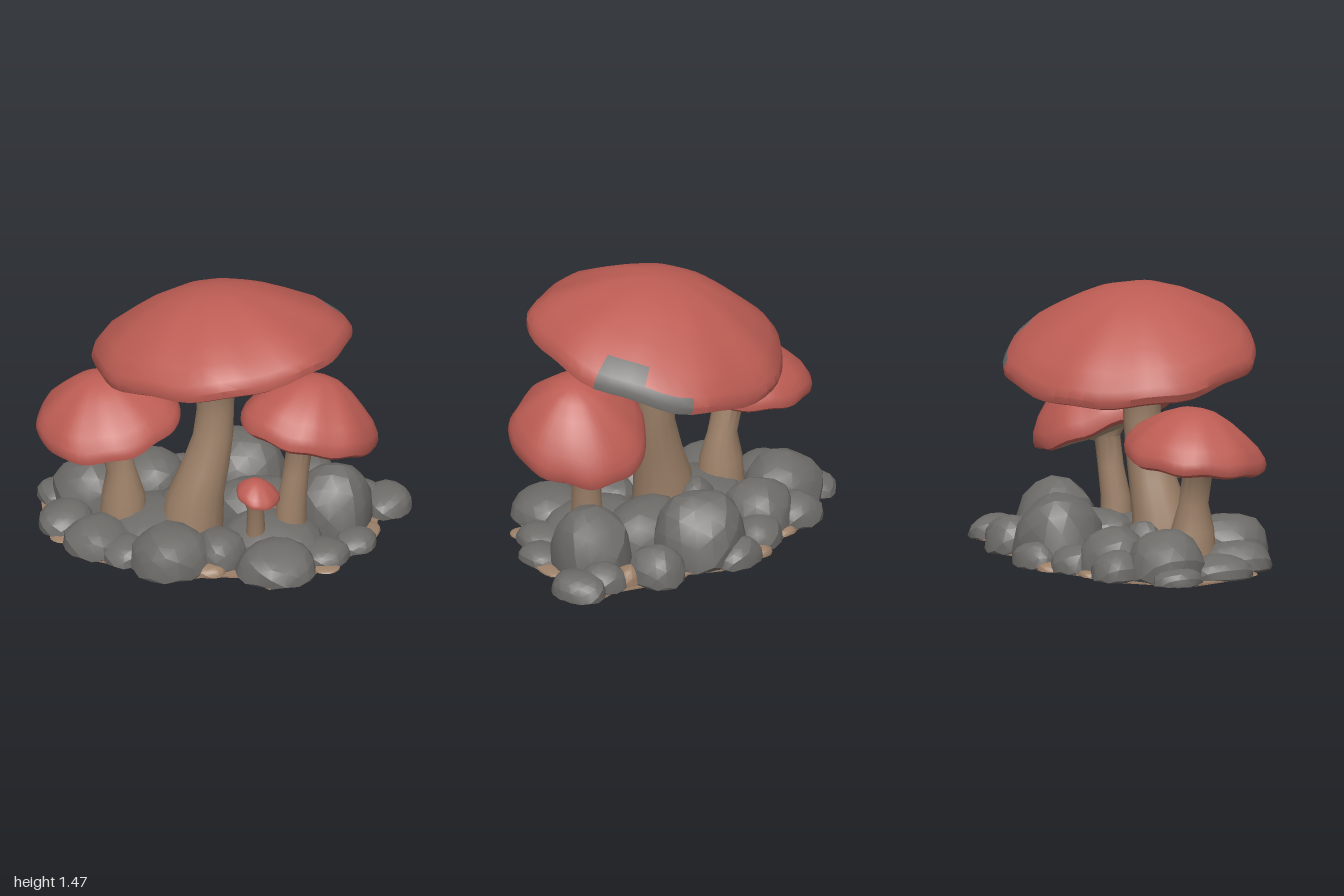
import * as THREE from 'three';
import { toCreasedNormals } from 'three/addons/utils/BufferGeometryUtils.js';

const material = (name, color, side = THREE.FrontSide) =>
  Object.assign(new THREE.MeshStandardMaterial({ color, side }), { name });

// moves every vertex of a geometry by a rule
function reshape(geometry, rule) {
  const p = geometry.attributes.position, v = new THREE.Vector3();
  for (let i = 0; i < p.count; i++) {
    v.fromBufferAttribute(p, i);
    rule(v, i);
    p.setXYZ(i, v.x, v.y, v.z);
  }
  return geometry;
}

// cap outline as fractions of radius and height, from the rim inward
const TOP = [[0.92, -0.06], [0.99, 0], [1, 0.1], [0.97, 0.22], [0.86, 0.42], [0.68, 0.62], [0.5, 0.8], [0.3, 0.94], [0.12, 1], [0, 1]];
const GILLS = [[0.08, -0.3], [0.25, -0.2], [0.6, -0.12], [0.92, -0.06]];

export function createModel() {
  const red = material('capRed', 0xbd5d54);
  const tan = material('stemTan', 0x9c8068);
  const gray = material('rockGray', 0x6e6c69);
  const gillTan = material('gillTan', 0xa08c72, THREE.DoubleSide);

  const model = new THREE.Group();
  model.name = 'mushroomCluster';
  const add = (parent, name, geometry, mat) => {
    const mesh = new THREE.Mesh(geometry, mat);
    mesh.name = name;
    parent.add(mesh);
    return mesh;
  };

  // a cap with a wavy rim, leaning by slopes sx and sz, its crown shifted by dx and dz
  function cap(group, { at, rx, rz, h, sx, sz, dx, dz, phase, worn = () => false }) {
    const bend = (ridges) => (v) => {
      const a = Math.atan2(v.x, v.z), r = Math.hypot(v.x, v.z), rise = Math.max(0, v.y);
      const wave = 1 + r * (0.018 * Math.sin(3 * a + phase) + 0.014 * Math.sin(7 * a + phase * 2));
      let y = v.y * h + r * r * h * (0.025 * Math.sin(9 * a) - 0.05 * Math.cos(2 * a));
      if (ridges && r > 0.3 && r < 0.9) y += 0.006 * h * Math.cos(24 * a);
      const x = v.x * rx * wave, z = v.z * rz * wave;
      v.set(at[0] + x + dx * rise, at[1] + y + sx * x + sz * z, at[2] + z + dz * rise);
    };
    const lathe = (profile) => new THREE.LatheGeometry(profile.map((q) => new THREE.Vector2(...q)), 48);
    const top = toCreasedNormals(reshape(lathe(TOP), bend(false)), 0.6);
    const rows = TOP.length - 1;
    for (let q = 0; q < 48 * rows; q++) {
      top.addGroup(q * 6, 6, worn(Math.floor(q / rows), q % rows) ? 1 : 0);
    }
    add(group, 'cap', top, [red, gray]);
    add(group, 'gills', toCreasedNormals(reshape(lathe(GILLS), bend(true)), 0.5), gillTan);
  }

  // a stem through stations [x, y, z, radius], top first
  function stem(group, stations) {
    const sides = 14;
    const g = new THREE.CylinderGeometry(1, 1, 1, sides, stations.length - 1, true);
    reshape(g, (v, i) => {
      const [x, y, z, r] = stations[Math.floor(i / (sides + 1))];
      v.set(x + v.x * r, y, z + v.z * r);
    });
    add(group, 'stem', toCreasedNormals(g, 0.7), tan);
  }

  const mushrooms = [
    {
      name: 'largeMushroom',
      cap: {
        at: [0.04, 1.055, 0.02], rx: 0.69, rz: 0.67, h: 0.39, sx: 0.155, sz: 0.145, dx: -0.09, dz: -0.02, phase: 0.6,
        // weathered patches on the rim: [segment around, row up]
        worn: (s, row) => (s > 14 && s < 18 && row < 4) || (s > 17 && s < 21 && row < 3),
      },
      stem: [[0, 1.04, 0.06, 0.2], [0, 0.99, 0.06, 0.14], [0, 0.92, 0.06, 0.105], [0, 0.75, 0.06, 0.1],
        [-0.01, 0.6, 0.075, 0.108], [-0.05, 0.42, 0.1, 0.13], [-0.1, 0.25, 0.12, 0.155], [-0.12, 0.02, 0.13, 0.17]],
    },
    {
      name: 'rightMushroom',
      cap: { at: [-0.575, 0.61, 0.06], rx: 0.385, rz: 0.375, h: 0.28, sx: 0.12, sz: -0.09, dx: -0.05, dz: 0, phase: 2.2 },
      stem: [[-0.55, 0.6, 0.1, 0.13], [-0.545, 0.53, 0.1, 0.08], [-0.5, 0.36, 0.1, 0.08],
        [-0.49, 0.22, 0.1, 0.115], [-0.49, 0.02, 0.1, 0.13]],
    },
    {
      name: 'leftMushroom',
      cap: { at: [0.5, 0.65, 0.1], rx: 0.365, rz: 0.37, h: 0.335, sx: -0.2, sz: 0.28, dx: 0.07, dz: -0.05, phase: 4 },
      stem: [[0.47, 0.66, 0.1, 0.12], [0.46, 0.58, 0.1, 0.07], [0.44, 0.42, 0.11, 0.07],
        [0.42, 0.25, 0.13, 0.08], [0.41, 0.02, 0.13, 0.09]],
    },
    {
      name: 'smallMushroom',
      cap: { at: [0.265, 0.36, 0.3], rx: 0.115, rz: 0.135, h: 0.1, sx: -0.2, sz: 0, dx: 0, dz: 0, phase: 1 },
      stem: [[0.25, 0.36, 0.3, 0.07], [0.25, 0.28, 0.29, 0.045], [0.25, 0.05, 0.28, 0.055]],
    },
  ];
  for (const m of mushrooms) {
    const group = new THREE.Group();
    group.name = m.name;
    cap(group, m.cap);
    stem(group, m.stem);
    model.add(group);
  }

  // blunt domes resting on the ground: [x, z, half width, half depth, height]
  function domes(groupName, name, list, mat) {
    const group = new THREE.Group();
    group.name = groupName;
    list.forEach(([x, z, w, d, h], k) => {
      const g = reshape(new THREE.IcosahedronGeometry(1, 2), (v) => {
        const bump = 0.98 + 0.05 * Math.sin(v.x * 3.1 + k * 1.7) * Math.sin(v.z * 3.7 + k) + 0.025 * Math.sin(v.y * 5 + v.x * 4 + k);
        v.multiplyScalar(bump);
        const lift = Math.sign(v.y) * Math.abs(v.y) ** 0.8;
        v.set(x + v.x * w, Math.max(0.006, h * (0.12 + 0.88 * lift)), z + v.z * d);
      });
      add(group, name + (k + 1), toCreasedNormals(g, 0.38), mat);
    });
    model.add(group);
  }
  domes('boulders', 'boulder', [
    [0.08, -0.4, 0.26, 0.25, 0.38], [0.61, -0.13, 0.22, 0.23, 0.35], [-0.4, -0.32, 0.2, 0.2, 0.26],
    [-0.69, -0.17, 0.23, 0.21, 0.27], [-0.6, 0.31, 0.18, 0.2, 0.16], [-0.18, 0.47, 0.22, 0.23, 0.23],
    [0.39, 0.46, 0.22, 0.22, 0.17], [0.87, -0.34, 0.135, 0.17, 0.13], [0.76, 0.1, 0.12, 0.14, 0.09],
    [0.44, -0.48, 0.15, 0.16, 0.2], [-0.58, -0.41, 0.15, 0.14, 0.16], [-0.02, -0.6, 0.15, 0.11, 0.14],
    [0.07, 0.37, 0.15, 0.17, 0.18], [0.2, -0.1, 0.26, 0.22, 0.25], [-0.3, 0.1, 0.28, 0.3, 0.17],
    [-0.8, 0.1, 0.15, 0.18, 0.13], [-0.42, 0.42, 0.14, 0.14, 0.12], [0.72, -0.36, 0.14, 0.13, 0.14],
    [0.32, 0.17, 0.3, 0.25, 0.18], [0.62, 0.26, 0.14, 0.15, 0.1], [-0.26, -0.48, 0.14, 0.14, 0.15],
    [-0.88, -0.2, 0.12, 0.14, 0.1], [-0.2, -0.04, 0.13, 0.11, 0.23],
  ], gray);

  // bare earth showing between the boulders
  domes('earth', 'earthLump', [
    [0.03, 0.53, 0.1, 0.07, 0.06], [-0.78, 0.24, 0.09, 0.09, 0.025], [0.64, 0.38, 0.08, 0.08, 0.025],
    [0.81, -0.04, 0.06, 0.12, 0.03], [0.59, -0.42, 0.08, 0.07, 0.11], [-0.17, -0.59, 0.08, 0.07, 0.05],
    [-0.43, -0.49, 0.08, 0.06, 0.04], [-0.64, -0.3, 0.07, 0.07, 0.18],
  ], tan);

  // flat slabs drawn as [x, z] outlines
  function slab(name, outline, y, depth, mat) {
    const shape = new THREE.Shape(outline.map(([x, z]) => new THREE.Vector2(x, -z)));
    const g = new THREE.ExtrudeGeometry(shape, { depth, bevelEnabled: false });
    add(model, name, g.rotateX(-Math.PI / 2).translate(0, y, 0), mat);
  }
  slab('groundPatch', [[-0.98, -0.2], [-0.82, -0.32], [-0.62, -0.5], [-0.42, -0.53], [-0.2, -0.6], [0, -0.69],
    [0.14, -0.62], [0.28, -0.55], [0.42, -0.6], [0.54, -0.52], [0.72, -0.46], [0.88, -0.49], [0.97, -0.36],
    [0.84, -0.18], [0.86, 0.08], [0.74, 0.26], [0.62, 0.42], [0.52, 0.6], [0.38, 0.67], [0.2, 0.56], [0.02, 0.58],
    [-0.18, 0.68], [-0.38, 0.54], [-0.66, 0.47], [-0.8, 0.26], [-0.92, 0.08]], 0.003, 0.009, tan);
  // rock showing through the underside
  slab('undersideRockLarge', [[-0.06, 0.58], [0.02, 0.45], [0.02, 0.15], [-0.03, 0], [-0.08, 0.06], [-0.06, 0.3]], 0, 0.006, gray);
  slab('undersideRockSmall', [[0.54, 0.34], [0.68, 0.26], [0.74, 0.08], [0.58, 0.04], [0.48, 0.16]], 0, 0.006, gray);

  return model;
}
